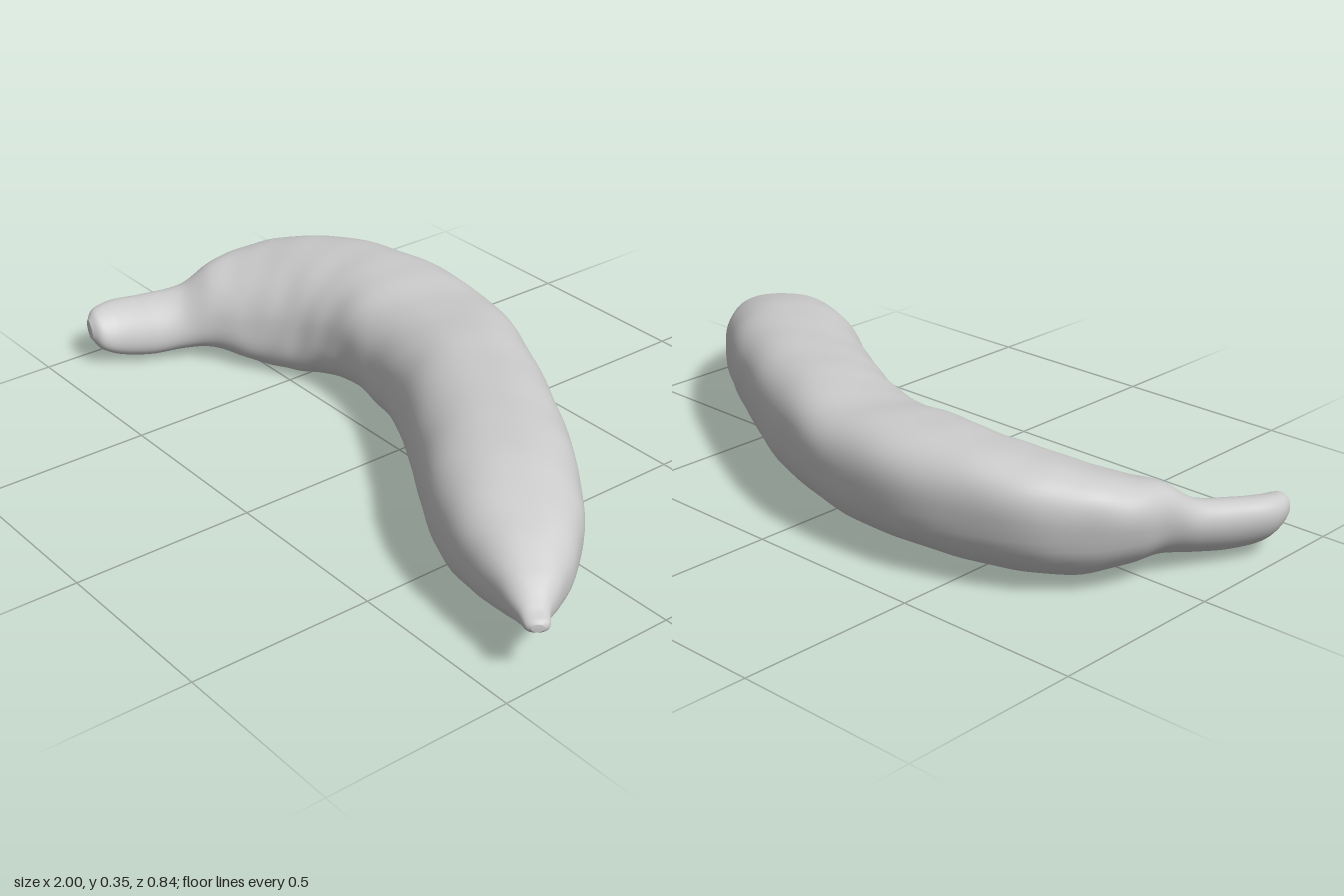
import * as THREE from 'three';

// Cross-sections from stem tip to blossom tip:
// [outer x, outer z, inner x, inner z, bottom y, top y]
const SECTIONS = [
  [-0.965, 0.382, -0.925, 0.39, 0.085, 0.135],
  [-0.99, 0.352, -0.892, 0.374, 0.055, 0.158],
  [-0.999, 0.29, -0.868, 0.325, 0.028, 0.168],
  [-0.965, 0.2, -0.825, 0.25, 0.02, 0.175],
  [-0.92, 0.09, -0.78, 0.17, 0.03, 0.192],
  [-0.897, 0.0, -0.72, 0.115, 0.036, 0.248],
  [-0.888, -0.09, -0.63, 0.068, 0.022, 0.272],
  [-0.83, -0.2, -0.54, 0.022, 0.004, 0.303],
  [-0.71, -0.31, -0.46, -0.01, 0.006, 0.328],
  [-0.53, -0.385, -0.38, -0.033, 0.018, 0.345],
  [-0.32, -0.422, -0.28, -0.036, 0.026, 0.352],
  [-0.12, -0.412, -0.16, -0.02, 0.024, 0.343],
  [0.08, -0.35, -0.02, 0.015, 0.018, 0.354],
  [0.28, -0.258, 0.13, 0.092, 0.008, 0.352],
  [0.47, -0.152, 0.3, 0.193, 0.022, 0.348],
  [0.63, -0.05, 0.465, 0.293, 0.02, 0.345],
  [0.77, 0.055, 0.61, 0.36, 0.032, 0.32],
  [0.872, 0.17, 0.745, 0.388, 0.064, 0.282],
  [0.938, 0.28, 0.86, 0.402, 0.1, 0.232],
  [0.972, 0.348, 0.935, 0.413, 0.13, 0.188],
  [0.998, 0.375, 0.965, 0.42, 0.138, 0.172],
  [0.997, 0.39, 0.98, 0.415, 0.145, 0.165],
];

const STEPS = 180, SIDES = 56;

function createPeel() {
  const curve = f => new THREE.CatmullRomCurve3(SECTIONS.map(f));
  const outer = curve(s => new THREE.Vector3(s[0], 0, s[1]));
  const inner = curve(s => new THREE.Vector3(s[2], 0, s[3]));
  const heights = curve((s, i) => new THREE.Vector3(s[4], s[5], i * 0.1));
  const { smoothstep } = THREE.MathUtils;

  const pos = [], index = [];
  const id = (i, j) => i * SIDES + (j % SIDES);
  const centres = [];
  for (let i = 0; i <= STEPS; i++) {
    const t = i / STEPS;
    const o = outer.getPoint(t), n = inner.getPoint(t), h = heights.getPoint(t);
    const mid = o.clone().add(n).multiplyScalar(0.5);
    const half = o.clone().sub(n).multiplyScalar(0.5);
    const midY = (h.x + h.y) / 2, halfY = (h.y - h.x) / 2;
    centres.push([mid.x, midY, mid.z]);
    const body = smoothstep(t, 0.2, 0.34) * (1 - smoothstep(t, 0.85, 0.97));
    // the section leans outwards at the top, most at the stem, easing off to the blossom tip
    const lean = 0.2 + 0.22 * (1 - smoothstep(t, 0.28, 0.48)) - 0.2 * smoothstep(t, 0.55, 0.85);
    // the body is squarish with soft ridges, the stem round
    const square = 0.18 * smoothstep(t, 0.18, 0.34) * (1 - smoothstep(t, 0.93, 1));
    const round = v => Math.sign(v) * Math.pow(Math.abs(v), 1 - square);
    for (let j = 0; j < SIDES; j++) {
      const a = j / SIDES * Math.PI * 2;
      // shallow dents and swellings in the skin
      const bump = 1 + body * (0.006 * Math.sin(t * 47 + 2 * a) + 0.005 * Math.sin(t * 83 - 3 * a + 1)
        + 0.004 * Math.sin(t * 131 + 4 * a));
      const u = round(Math.cos(a)) * bump, v = round(Math.sin(a + lean)) * bump;
      pos.push(mid.x + half.x * u, midY + halfY * v, mid.z + half.z * u);
    }
  }
  for (let i = 0; i < STEPS; i++) for (let j = 0; j < SIDES; j++) {
    const a = id(i, j), b = id(i, j + 1), c = id(i + 1, j), d = id(i + 1, j + 1);
    index.push(a, b, c, b, d, c);
  }
  // close both ends
  const first = pos.length / 3;
  pos.push(...centres[0], ...centres[STEPS]);
  for (let j = 0; j < SIDES; j++) {
    index.push(first, id(0, j + 1), id(0, j));
    index.push(first + 1, id(STEPS, j), id(STEPS, j + 1));
  }
  const geo = new THREE.BufferGeometry();
  geo.setAttribute('position', new THREE.Float32BufferAttribute(pos, 3));
  geo.setIndex(index);
  geo.computeVertexNormals();
  return geo;
}

export function createModel() {
  const group = new THREE.Group();
  group.name = 'banana';
  const peel = new THREE.Mesh(createPeel(), new THREE.MeshStandardMaterial({ color: 0xcccccc }));
  peel.name = 'peel';
  group.add(peel);
  return group;
}
